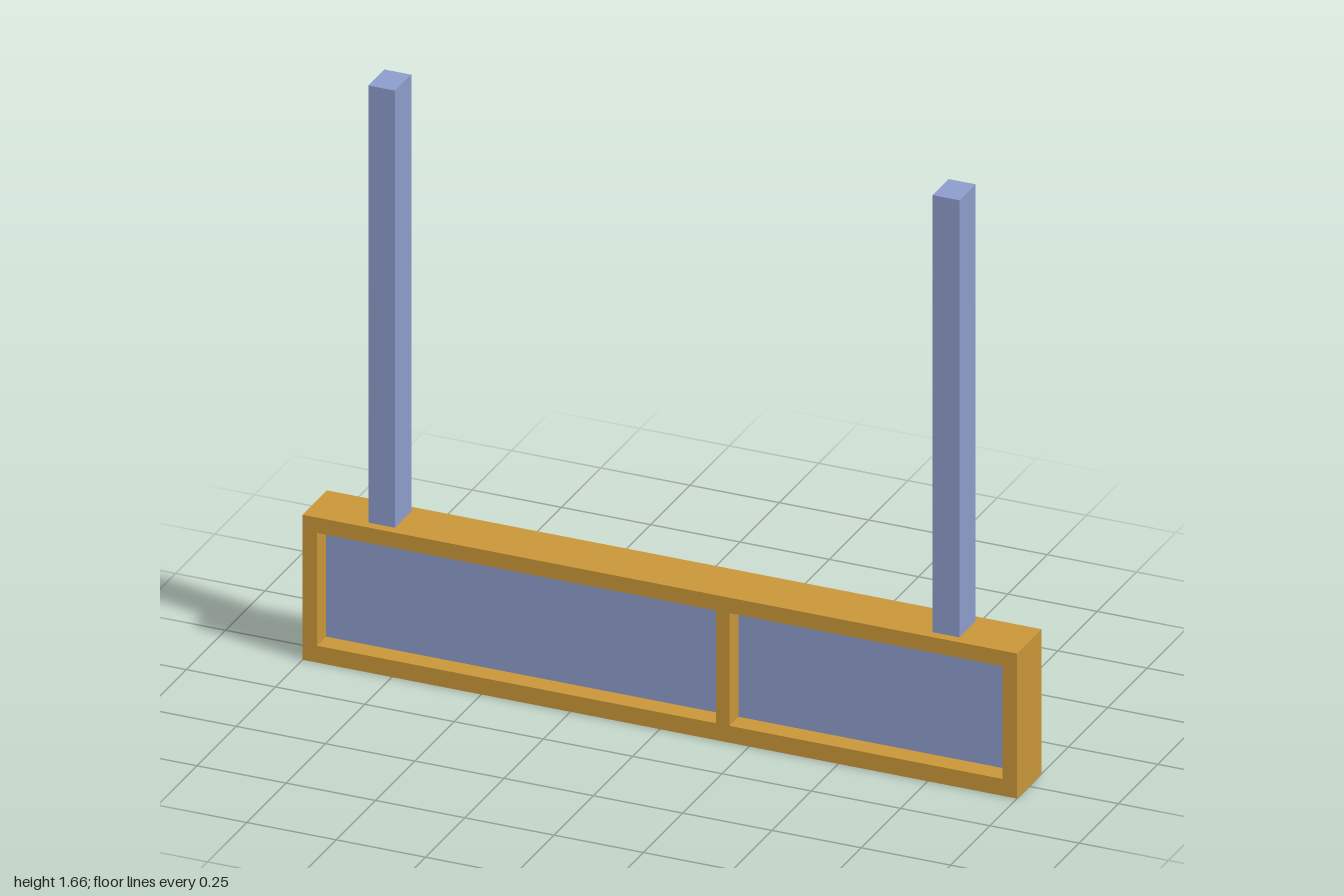
import * as THREE from 'three';

const WIDTH = 2, HEIGHT = 0.414, DEPTH = 0.155, RECESS = 0.06;
const POST_TOP = 1.662;

export function createModel() {
  const model = new THREE.Group();
  model.name = 'hangingSignBox';
  const gold = new THREE.MeshStandardMaterial({ color: 0xc89638 });
  const blue = new THREE.MeshStandardMaterial({ color: 0x8c9bca });

  const add = (name, geometry, material, x, y, z) => {
    const mesh = new THREE.Mesh(geometry, material);
    mesh.name = name;
    mesh.position.set(x, y, z);
    model.add(mesh);
  };
  const rectangle = (path, x0, y0, x1, y1) =>
    path.moveTo(x0, y0).lineTo(x1, y0).lineTo(x1, y1).lineTo(x0, y1).closePath();

  // Two recessed windows, split by an off-centre divider: [x0, x1]
  const windows = [[-0.96, 0.158], [0.195, 0.96]];
  const y0 = 0.048, y1 = 0.37;
  const floorZ = DEPTH / 2 - RECESS;

  // Front frame with window openings
  const outline = rectangle(new THREE.Shape(), -WIDTH / 2, 0, WIDTH / 2, HEIGHT);
  for (const [x0, x1] of windows) outline.holes.push(rectangle(new THREE.Path(), x0, y0, x1, y1));
  add('frontFrame', new THREE.ExtrudeGeometry(outline, { depth: RECESS, bevelEnabled: false }),
    gold, 0, 0, floorZ);

  // Solid back of the case
  const backDepth = DEPTH - RECESS;
  add('caseBack', new THREE.BoxGeometry(WIDTH, HEIGHT, backDepth),
    gold, 0, HEIGHT / 2, -DEPTH / 2 + backDepth / 2);

  // Panels at the bottom of each recess
  windows.forEach(([x0, x1], i) => add(i ? 'leftPanel' : 'rightPanel',
    new THREE.BoxGeometry(x1 - x0, y1 - y0, 0.004), blue, (x0 + x1) / 2, (y0 + y1) / 2, floorZ));

  // Upright posts on top of the case
  const postHeight = POST_TOP - HEIGHT;
  for (const side of [-1, 1]) {
    add(side > 0 ? 'leftPost' : 'rightPost', new THREE.BoxGeometry(0.075, postHeight, 0.102),
      blue, side * 0.79, HEIGHT + postHeight / 2, 0);
  }
  return model;
}
